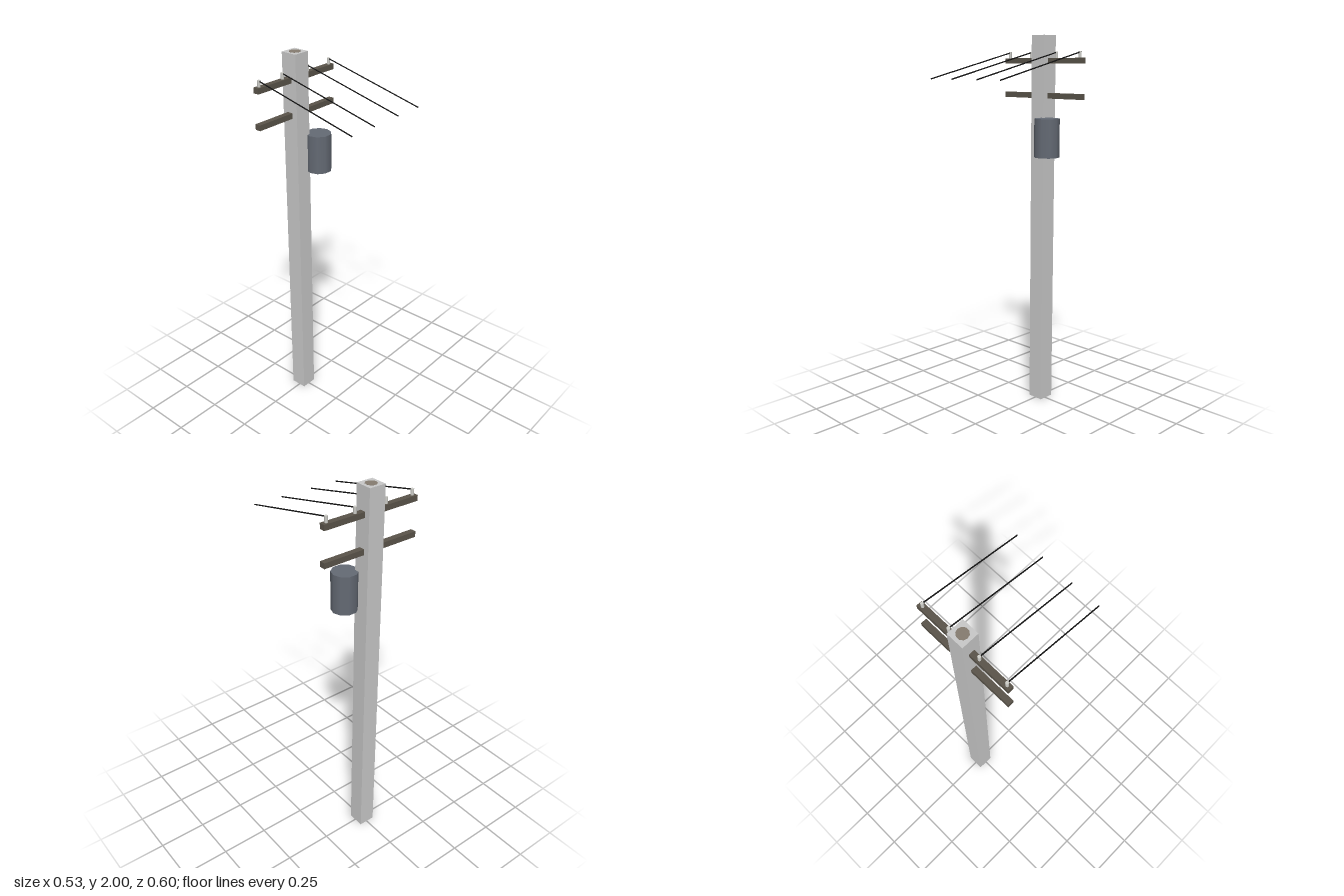
import * as THREE from 'three';

const material = (name, color) => {
  const m = new THREE.MeshStandardMaterial({ color });
  m.name = name;
  return m;
};

export function createModel() {
  const concrete = material('concrete grey', 0xc8c8c8);
  const core = material('core brown', 0x857b70);
  const timber = material('dark timber', 0x5a544a);
  const steel = material('blue grey steel', 0x646a74);
  const ceramic = material('ceramic white', 0xcfcfca);
  const black = material('cable black', 0x141414);

  const model = new THREE.Group();
  model.name = 'utilityPole';
  const poleZ = -0.256;

  const add = (name, geometry, mat, x, y, z) => {
    const mesh = new THREE.Mesh(geometry, mat);
    mesh.name = name;
    mesh.position.set(x, y, z);
    model.add(mesh);
    return mesh;
  };

  // Square pole with a round core showing at both ends
  add('pole', new THREE.BoxGeometry(0.088, 1.998, 0.088), concrete, 0, 1, poleZ);
  add('poleCore', new THREE.CylinderGeometry(0.029, 0.029, 2, 10).rotateY(Math.PI / 2), core, 0, 1, poleZ);

  // Two crossarms
  for (const [name, y] of [['upperCrossarm', 1.87], ['lowerCrossarm', 1.692]]) {
    add(name, new THREE.BoxGeometry(0.532, 0.028, 0.03), timber, 0, y, poleZ - 0.001);
  }

  // Transformer can on the front left of the pole
  add('transformer', new THREE.CylinderGeometry(0.066, 0.066, 0.2, 10).rotateY(Math.PI / 2), steel, 0.088, 1.48, -0.19);

  // Insulators, each holding a cable that slopes down to the front
  for (const x of [-0.245, -0.089, 0.088, 0.244]) {
    add('insulator', new THREE.CylinderGeometry(0.008, 0.008, 0.034, 8), ceramic, x, 1.899, poleZ - 0.001);
    const path = new THREE.LineCurve3(new THREE.Vector3(x, 1.911, -0.252), new THREE.Vector3(x, 1.782, 0.299));
    const cable = new THREE.CylinderGeometry(0.0032, 0.0032, path.getLength(), 6);
    const mesh = add('cable', cable, black, 0, 0, 0);
    path.getPoint(0.5, mesh.position);
    mesh.quaternion.setFromUnitVectors(new THREE.Vector3(0, 1, 0), path.getTangent(0));
  }

  return model;
}
